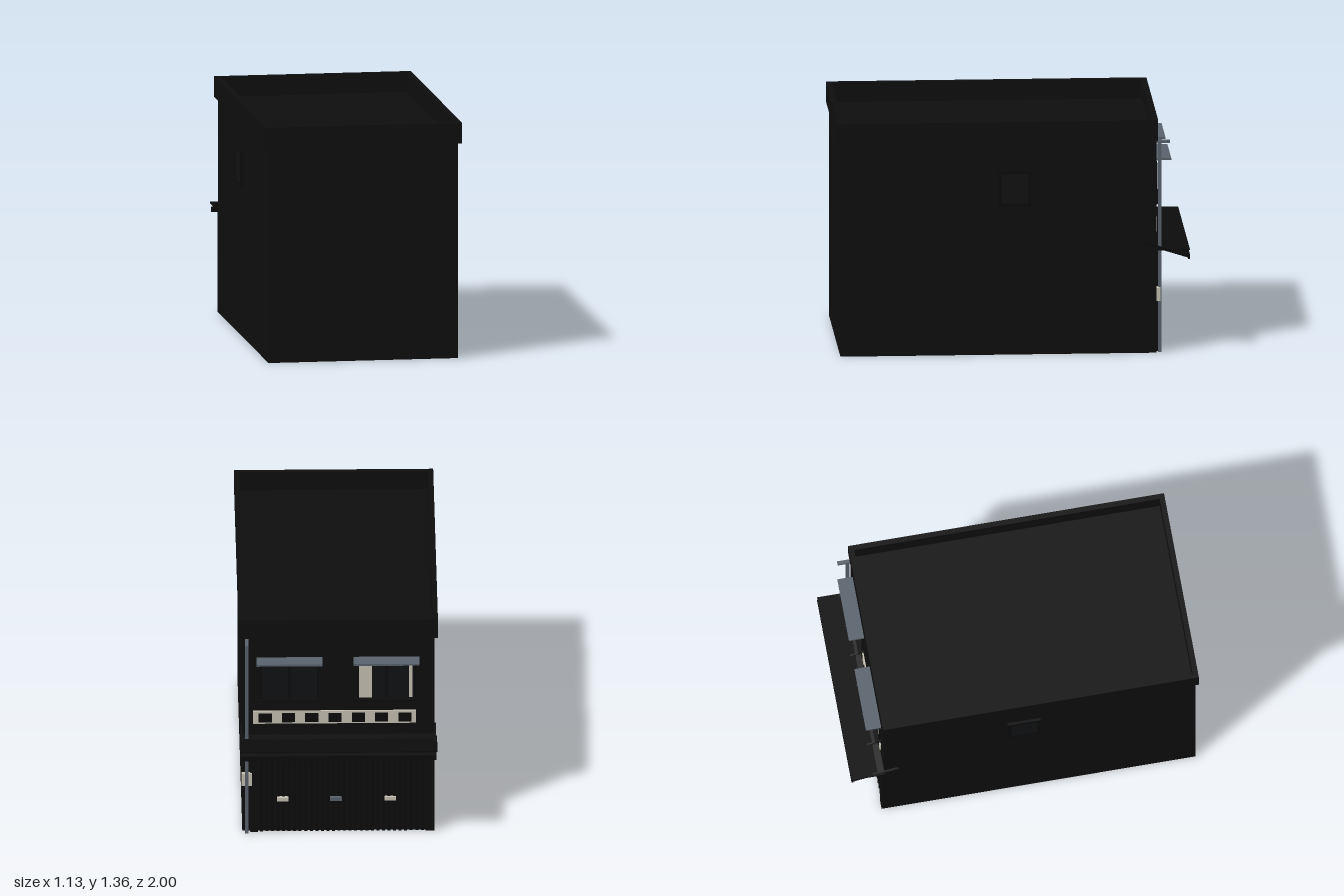
import * as THREE from 'three';

const mat = (name, color, side = THREE.FrontSide) => {
  const m = new THREE.MeshStandardMaterial({ color, side });
  m.name = name;
  return m;
};

export function createModel() {
  const model = new THREE.Group();
  const wall = mat('wall black', 0x0e0e0e);
  const trim = mat('trim black', 0x0b0b0b, THREE.DoubleSide);
  const glass = mat('dark glass', 0x111213);
  const steel = mat('grey steel', 0x5a636e);
  const cream = mat('cream', 0xc8c3b4);

  // box given by its limits on each axis
  const box = (name, m, x0, x1, y0, y1, z0, z1, parent = model) => {
    const mesh = new THREE.Mesh(new THREE.BoxGeometry(x1 - x0, y1 - y0, z1 - z0), m);
    mesh.position.set((x0 + x1) / 2, (y0 + y1) / 2, (z0 + z1) / 2);
    mesh.name = name;
    parent.add(mesh);
    return mesh;
  };
  // four bars around an opening on the shop front
  const frame = (name, m, x0, x1, y0, y1, z0, z1, t) => {
    box(name, m, x0, x1, y0, y0 + t, z0, z1);
    box(name, m, x0, x1, y1 - t, y1, z0, z1);
    box(name, m, x0, x0 + t, y0 + t, y1 - t, z0, z1);
    box(name, m, x1 - t, x1, y0 + t, y1 - t, z0, z1);
  };

  // main block with a roof deck sunk behind the parapet
  box('body', wall, -0.545, 0.545, 0, 1.24, -0.81, 0.985);
  for (const s of [-1, 1]) {
    box('parapetSide', wall, s * 0.55 - 0.015, s * 0.55 + 0.015, 1.235, 1.355, -0.82, 1);
  }
  box('parapetFront', wall, -0.535, 0.535, 1.235, 1.355, 0.97, 1);
  box('parapetBack', wall, -0.535, 0.535, 1.235, 1.355, -0.82, -0.79);

  // framed window on each side wall
  for (const s of [-1, 1]) {
    const side = new THREE.Group();
    side.name = 'sideWindow';
    side.position.x = s * 0.5525;
    box('sideFrame', trim, -0.0075, 0.0075, 0.86, 0.88, -0.1, 0.09, side);
    box('sideFrame', trim, -0.0075, 0.0075, 1.05, 1.07, -0.1, 0.09, side);
    box('sideFrame', trim, -0.0075, 0.0075, 0.88, 1.05, -0.1, -0.08, side);
    box('sideFrame', trim, -0.0075, 0.0075, 0.88, 1.05, 0.07, 0.09, side);
    box('sidePane', glass, -0.0075, -s * 0.004 + 0.003, 0.88, 1.05, -0.08, 0.07, side);
    model.add(side);
  }

  // upper windows with canopy and sill
  for (const [x0, x1] of [[-0.46, -0.085], [0.09, 0.465]]) {
    const a = x0 + 0.02, b = x1 - 0.02, mid = (a + b) / 2;
    box('windowPane', glass, a, b, 0.85, 1.07, -0.815, -0.81);
    frame('windowFrame', trim, a, b, 0.84, 1.08, -0.822, -0.81, 0.012);
    box('windowMullion', trim, mid - 0.006, mid + 0.006, 0.85, 1.07, -0.822, -0.81);
    box('windowSill', trim, a - 0.01, b + 0.01, 0.843, 0.852, -0.845, -0.81);
    box('canopy', steel, x0, x1, 1.1, 1.112, -0.9, -0.81);
  }
  // curtains
  box('curtain', cream, -0.19, -0.11, 0.855, 1.06, -0.819, -0.815);
  box('curtain', cream, -0.422, -0.4, 0.855, 1.06, -0.819, -0.815);

  // cream band with dark square panels
  box('band', cream, -0.44, 0.485, 0.69, 0.77, -0.818, -0.81);
  for (let i = 0; i < 7; i++) {
    const x = 0.415 - i * 0.132;
    box('bandPanel', trim, x - 0.037, x + 0.037, 0.7, 0.757, -0.821, -0.816);
  }

  // awning: level shelf, sloped sheet, hanging edge and ribs
  box('awningShelf', trim, -0.56, 0.56, 0.596, 0.604, -1, -0.81);
  const dz = 0.27, dy = 0.085, slope = Math.atan2(dy, dz);
  const sheet = new THREE.Mesh(new THREE.BoxGeometry(1.108, 0.004, Math.hypot(dz, dy)), trim);
  sheet.name = 'awningSheet';
  sheet.position.set(0, 0.597, -0.863);
  sheet.rotation.x = -slope;
  model.add(sheet);
  box('awningEdge', trim, -0.555, 0.555, 0.545, 0.575, -1, -0.99);
  for (let i = 0; i < 7; i++) {
    const rib = new THREE.Mesh(new THREE.BoxGeometry(0.01, 0.016, 0.27), trim);
    rib.name = 'awningRib';
    rib.position.set(-0.546 + i * 0.182, 0.6, -0.863);
    rib.rotation.x = -slope;
    model.add(rib);
  }

  // ground floor: corner piers, transom windows, ribbed shutter
  box('pier', wall, -0.545, -0.495, 0, 0.6, -0.825, -0.81);
  box('pier', wall, 0.455, 0.5, 0, 0.6, -0.825, -0.81);
  for (let i = 0; i < 6; i++) {
    const x = -0.485 + i * 0.157;
    box('transomPane', glass, x + 0.01, x + 0.14, 0.48, 0.55, -0.814, -0.81);
    frame('transomFrame', trim, x, x + 0.15, 0.47, 0.56, -0.82, -0.81, 0.01);
  }
  for (let i = 0; i < 30; i++) {
    const x = -0.485 + i * 0.0315;
    box('shutterRib', trim, x, x + 0.017, 0, 0.455, -0.819, -0.81);
  }
  // shutter handles
  [[0.315, cream], [0.014, steel], [-0.295, cream]].forEach(([x, m]) =>
    box('shutterHandle', m, x - 0.033, x + 0.033, 0.2, 0.222, -0.836, -0.815));

  // drainpipe with outlet at the top and a meter box
  box('drainpipe', steel, 0.51, 0.53, 0, 1.225, -0.842, -0.822);
  box('drainpipeOutlet', steel, 0.51, 0.53, 1.213, 1.23, -0.89, -0.81);
  box('meterBox', cream, 0.49, 0.55, 0.3, 0.378, -0.834, -0.812);
  return model;
}
